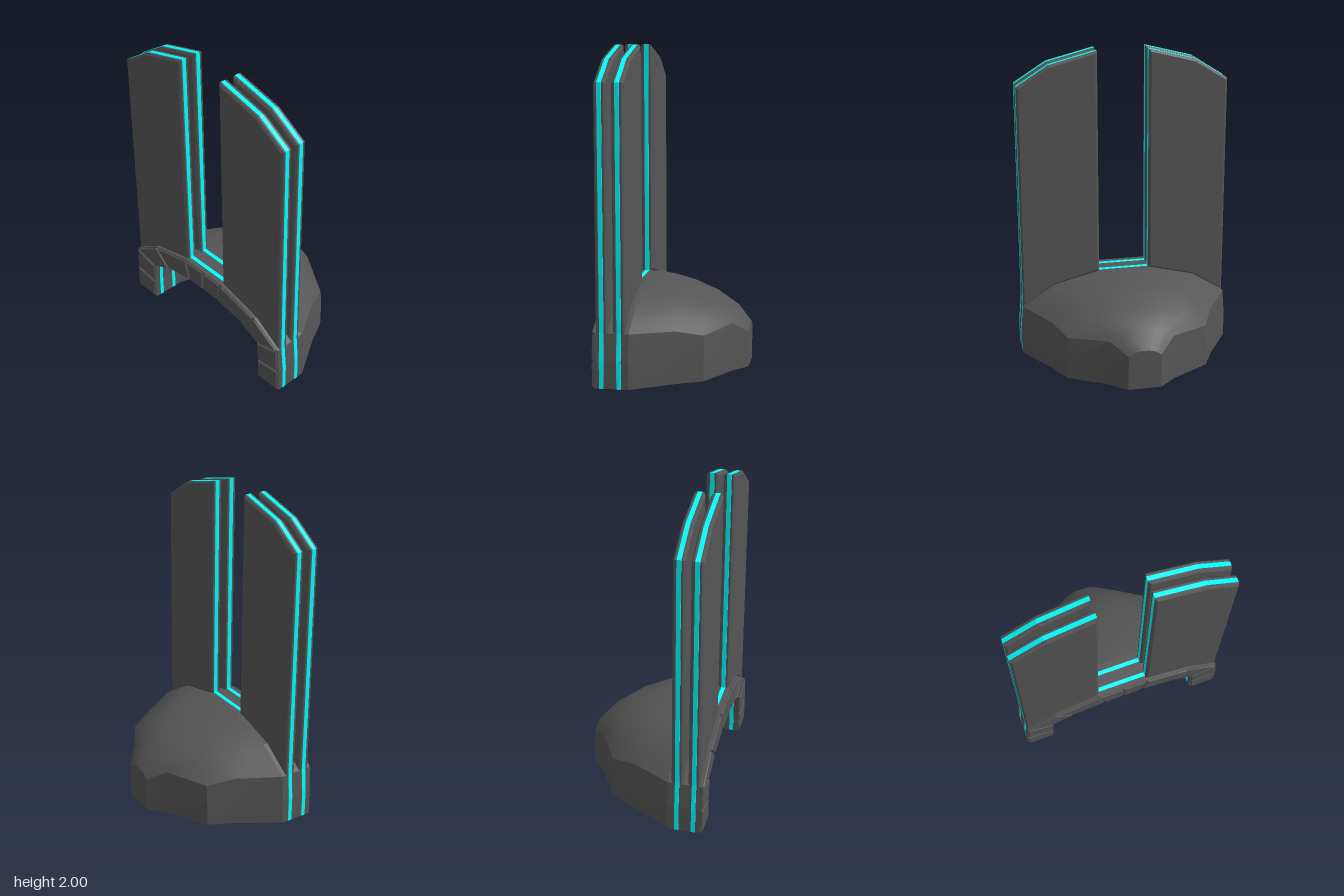
import * as THREE from 'three';
import { toCreasedNormals } from 'three/addons/utils/BufferGeometryUtils.js';

const dark = new THREE.MeshStandardMaterial({ color: 0x555555 });
const cyan = new THREE.MeshStandardMaterial({ color: 0x00ffff });

// Half outlines of the arch as [z, y], from the foot to the crown
const OUTER = [[0.69, 0], [0.69, 0.165], [0.675, 0.33], [0.47, 0.46], [0.165, 0.535], [0, 0.535]];
const INNER = [[0.505, 0], [0.505, 0.14], [0.495, 0.28], [0.347, 0.352], [0.13, 0.39], [0, 0.39]];
const BANDS = [-0.3725, -0.268]; // x centres of the two layers

const flip = (pts) => pts.map(([z, y]) => [-z, y]);
const bothSides = (pts) => [...pts, ...flip(pts.slice(0, -1)).reverse()];

// Extrudes a [z, y] outline from x0 to x1, with chamfers of the given size and depth
function slab(name, pts, x0, x1, material, { size = 0, depth = 0, offset = 0 } = {}) {
  const shape = new THREE.Shape(pts.map(([z, y]) => new THREE.Vector2(z, y)));
  const geo = new THREE.ExtrudeGeometry(shape, {
    depth: x1 - x0 - 2 * depth,
    bevelEnabled: size > 0,
    bevelThickness: depth,
    bevelSize: size,
    bevelOffset: offset,
    bevelSegments: 1,
  });
  geo.rotateY(-Math.PI / 2).translate(x1 - depth, 0, 0);
  const mesh = new THREE.Mesh(geo, material);
  mesh.name = name;
  return mesh;
}

// Coloured layer standing a hair proud of the outline around it
const band = (name, pts, x) =>
  slab(name, pts, x - 0.014, x + 0.014, cyan, { size: 0.0012, depth: 0.001 });

// Hollow dome lofted through arched cross-sections along x, its wall thinning to the nose
function domeShell() {
  // x, half width, wall height, crown height, thickness
  const stations = [
    [-0.21, 0.69, 0.33, 0.535, 0.185], [-0.08, 0.61, 0.325, 0.52, 0.15],
    [0.04, 0.535, 0.32, 0.495, 0.12], [0.2, 0.455, 0.28, 0.435, 0.09],
    [0.34, 0.21, 0.3, 0.36, 0.055], [0.432, 0.105, 0.225, 0.26, 0.045],
  ];
  const curve = [[1, 0], [0.87, 0.28], [0.7, 0.63], [0.47, 0.85], [0.245, 0.99], [0, 1]];
  const section = (w, wall, top) => {
    const lean = w * 0.02;
    return bothSides([[w, 0], [w, wall * 0.5],
      ...curve.map(([f, g]) => [(w - lean) * f, wall + (top - wall) * g])]);
  };
  const pos = [], idx = [];
  let half = 0;
  stations.forEach(([x, w, wall, top, t], i) => {
    const out = section(w, wall, top);
    const inn = section(w - t, wall - 0.27 * t, top - 0.78 * t).reverse();
    half = out.length;
    const last = i === stations.length - 1;
    out.forEach(([z, y]) => pos.push(x, y, z));
    inn.forEach(([z, y]) => pos.push(last ? x - t : x, y, z));
  });
  const n = half * 2;
  for (let i = 0; i < stations.length - 1; i++) {
    for (let j = 0; j < n; j++) {
      const k = (j + 1) % n;
      const a = i * n + j, b = i * n + k, c = b + n, d = a + n;
      idx.push(a, d, c, a, c, b);
    }
  }
  // Nose caps, outside and inside, and the rim below them
  const e = (stations.length - 1) * n;
  for (const s of [e, e + half]) {
    for (let k = 1; k < half - 1; k++) idx.push(s, s + k + 1, s + k);
  }
  const [oF, oL, iL, iF] = [e, e + half - 1, e + half, e + n - 1];
  idx.push(oF, iL, oL, oF, iF, iL);

  const geo = new THREE.BufferGeometry();
  geo.setAttribute('position', new THREE.Float32BufferAttribute(pos, 3));
  geo.setIndex(idx);
  const mesh = new THREE.Mesh(toCreasedNormals(geo, 0.5), dark);
  mesh.name = 'domeShell';
  return mesh;
}

// Raised panels on the flat end of the arch, with grooves between them
function archPanels() {
  const group = new THREE.Group();
  group.name = 'archPanels';
  for (let i = 0; i < OUTER.length - 1; i++) {
    const quad = [OUTER[i], OUTER[i + 1], INNER[i + 1], INNER[i]];
    for (const pts of [quad, flip(quad)]) {
      group.add(slab('archPanel', pts, -0.432, -0.41, dark, { size: 0.006, depth: 0.006, offset: -0.013 }));
    }
  }
  return group;
}

export function createModel() {
  const model = new THREE.Group();
  model.name = 'model';

  // Arch with two coloured bands running all the way round it
  const ring = [...bothSides(OUTER), ...bothSides(INNER).reverse()];
  model.add(slab('arch', ring, -0.421, -0.21, dark));
  for (const x of BANDS) model.add(band('archBand', ring, x));

  model.add(domeShell(), archPanels());

  // Tall twin plates on both sides, chamfered, each with a coloured core
  const plate = [[0.165, 0.535], [0.47, 0.455], [0.675, 0.325], [0.675, 1.79], [0.47, 1.92], [0.165, 1.998]];
  for (const side of ['front', 'back']) {
    const pts = side === 'front' ? plate : flip(plate);
    for (const x of BANDS) {
      model.add(slab(side + 'Plate', pts, x - 0.035, x + 0.036, dark, { size: 0.014, depth: 0.01, offset: -0.014 }));
      model.add(band(side + 'PlateCore', pts, x));
    }
  }
  return model;
}
